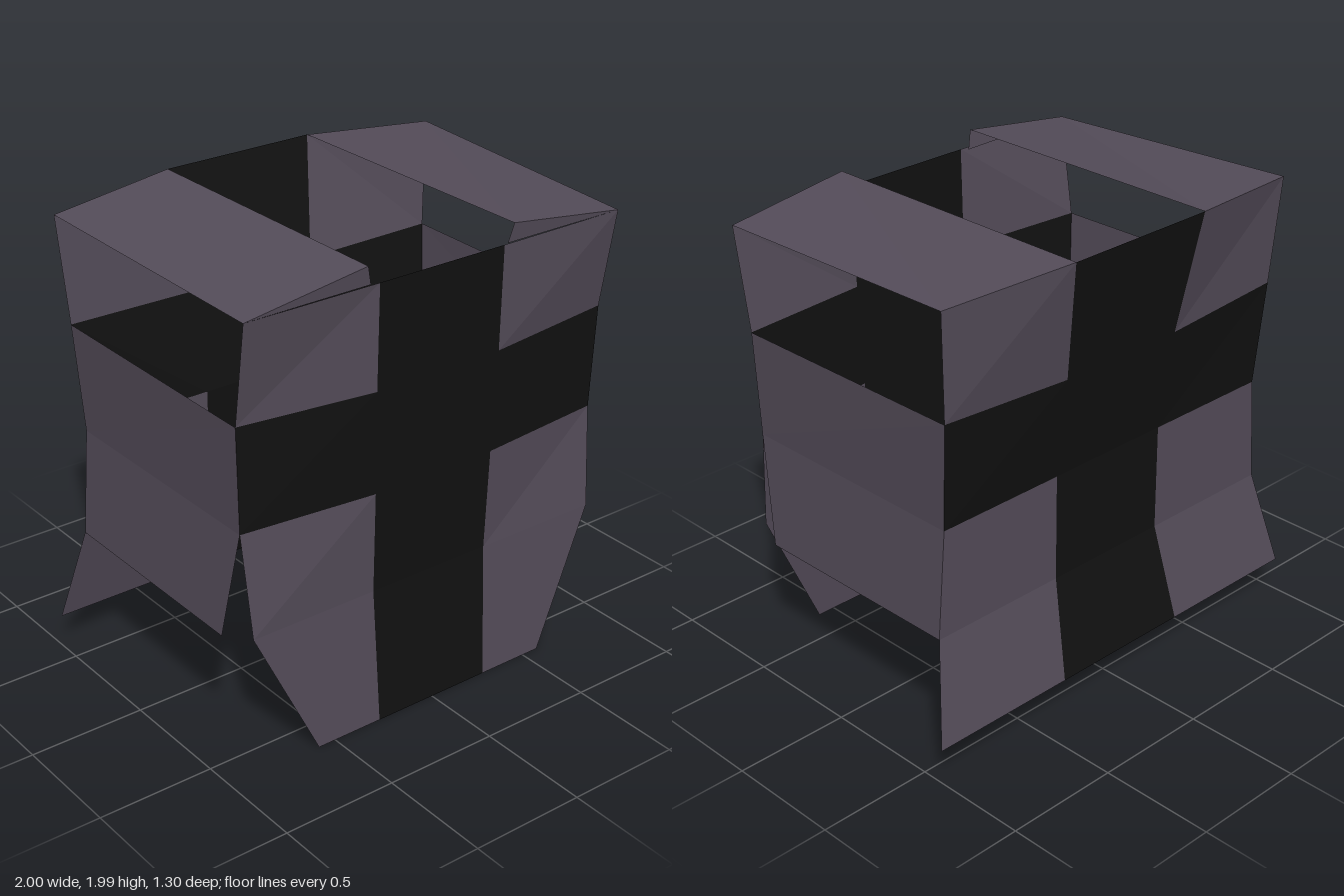
import * as THREE from 'three';

const cloth = new THREE.MeshStandardMaterial({ color: 0x544c59, flatShading: true, side: THREE.DoubleSide });
const dark = new THREE.MeshStandardMaterial({ color: 0x111111, flatShading: true, side: THREE.DoubleSide });

// Thin cloth mesh from faces of three or four corners, counter-clockwise from outside
function clothMesh(name, material, faces) {
  const points = [];
  for (const [a, b, c, d] of faces) {
    points.push(...a, ...b, ...c);
    if (d) points.push(...a, ...c, ...d);
  }
  const geometry = new THREE.BufferGeometry();
  geometry.setAttribute('position', new THREE.Float32BufferAttribute(points, 3));
  geometry.computeVertexNormals();
  const mesh = new THREE.Mesh(geometry, material);
  mesh.name = name;
  return mesh;
}

const mirrorX = ([x, y, z]) => [-x, y, z];
const mirrorFace = (face) => face.map(mirrorX).reverse();

// Panel from rows of [seam corner, outer corner] on the +x half; row 1 to 2 is the cross band
function panel(name, rows, facing) {
  const plain = [], cross = [];
  for (let i = 0; i < rows.length - 1; i++) {
    const across = ([seam, outer]) => [mirrorX(outer), mirrorX(seam), seam, outer];
    const top = across(rows[i]), bottom = across(rows[i + 1]);
    for (let j = 0; j < 3; j++) {
      const face = [bottom[j], bottom[j + 1], top[j + 1], top[j]];
      if (facing < 0) face.reverse();
      (i === 1 || j === 1 ? cross : plain).push(face);
    }
  }
  const group = new THREE.Group();
  group.name = name;
  group.add(clothMesh(name + 'Cloth', cloth, plain), clothMesh(name + 'Cross', dark, cross));
  return group;
}

export function createModel() {
  const model = new THREE.Group();
  model.name = 'tabard';

  // Front panel, tapering to a narrow hem
  const front = [
    [[0.30, 1.91, 0.65], [0.90, 1.91, 0.645]],
    [[0.30, 1.47, 0.64], [0.895, 1.48, 0.575]],
    [[0.29, 1.03, 0.625], [0.88, 1.03, 0.565]],
    [[0.285, 0.59, 0.61], [0.86, 0.59, 0.61]],
    [[0.275, 0, 0.645], [0.58, 0, 0.645]],
  ];
  model.add(panel('frontPanel', front, 1));

  // Back panel, rising to the collar and flaring at the hem
  const back = [
    [[0.35, 1.985, -0.65], [0.93, 1.95, -0.565]],
    [[0.30, 1.47, -0.565], [0.90, 1.49, -0.54]],
    [[0.29, 1.03, -0.505], [0.88, 1.03, -0.505]],
    [[0.29, 0.57, -0.505], [0.915, 0.57, -0.505]],
    [[0.33, 0.15, -0.6], [1.0, 0.15, -0.6]],
  ];
  model.add(panel('backPanel', back, -1));

  // Shoulder straps with a small front facing, and side panels below the arm openings
  const neckFront = [0.35, 1.985, 0.645];
  const shoulder = [
    [neckFront, front[0][1], back[0][1], back[0][0]],
    [neckFront, [0.33, 1.905, 0.635], front[0][1]],
  ];
  const hemFront = [0.915, 0.565, 0.48];
  const side = [
    [front[2][1], back[2][1], back[1][1], front[1][1]],
    [hemFront, back[3][1], back[2][1], front[2][1]],
  ];
  for (const [prefix, place] of [['left', (f) => f], ['right', mirrorFace]]) {
    model.add(clothMesh(prefix + 'Shoulder', cloth, shoulder.map(place)));
    model.add(clothMesh(prefix + 'Side', cloth, side.map(place)));
  }
  return model;
}
